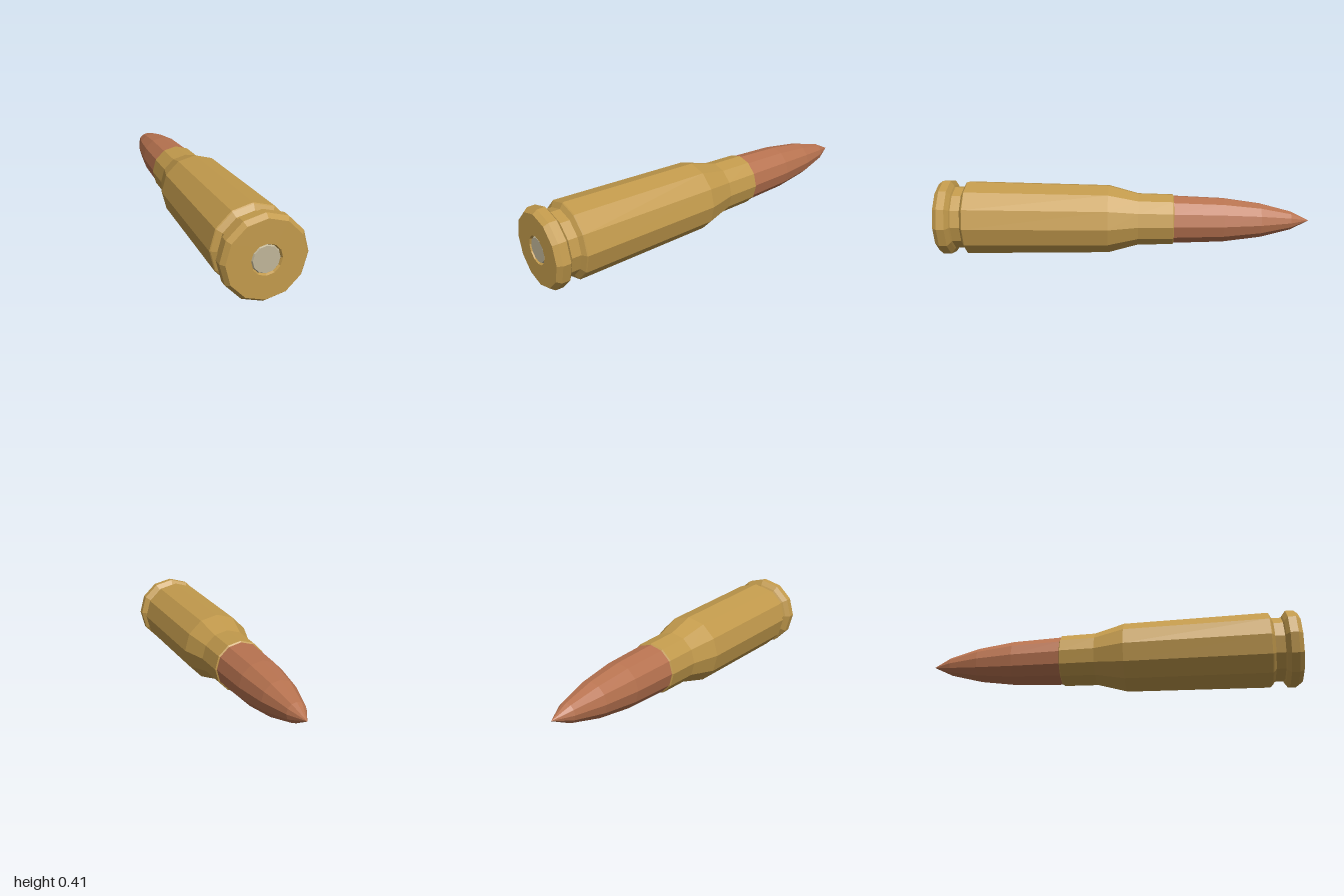
import * as THREE from 'three';

const SIDES = 12;
const AXIS_HEIGHT = 0.208;

// Turned part lying along z; profile is [radius, z] from back to front.
function turned(name, color, profile) {
  const points = profile.map(([r, z]) => new THREE.Vector2(r, z));
  const geometry = new THREE.LatheGeometry(points, SIDES).rotateX(Math.PI / 2);
  const material = new THREE.MeshStandardMaterial({ color, flatShading: true });
  const mesh = new THREE.Mesh(geometry, material);
  mesh.name = name;
  mesh.position.y = AXIS_HEIGHT;
  return mesh;
}

export function createModel() {
  const model = new THREE.Group();
  model.name = 'cartridge';

  // Pointed copper bullet, its base seated inside the neck
  model.add(turned('bullet', 0xb87350, [
    [0, -1], [0.05, -0.9], [0.093, -0.735], [0.12, -0.535],
    [0.131, -0.26], [0.131, -0.2], [0, -0.2],
  ]));

  // Brass case: mouth, neck, shoulder, body, extractor groove, rim, primer pocket
  model.add(turned('case', 0xc29a4c, [
    [0.128, -0.255], [0.131, -0.27], [0.138, -0.265],
    [0.142, -0.08], [0.186, 0.08],
    [0.2, 0.843], [0.196, 0.848], [0.17, 0.863],
    [0.17, 0.912], [0.18, 0.917], [0.205, 0.935],
    [0.205, 0.976], [0.187, 1], [0.0735, 1], [0.068, 0.99], [0.068, 0.96],
  ]));

  // Slightly domed primer in its pocket
  model.add(turned('primer', 0xbfb598, [
    [0.068, 0.965], [0.068, 0.987], [0.063, 0.996], [0, 0.996],
  ]));

  return model;
}
